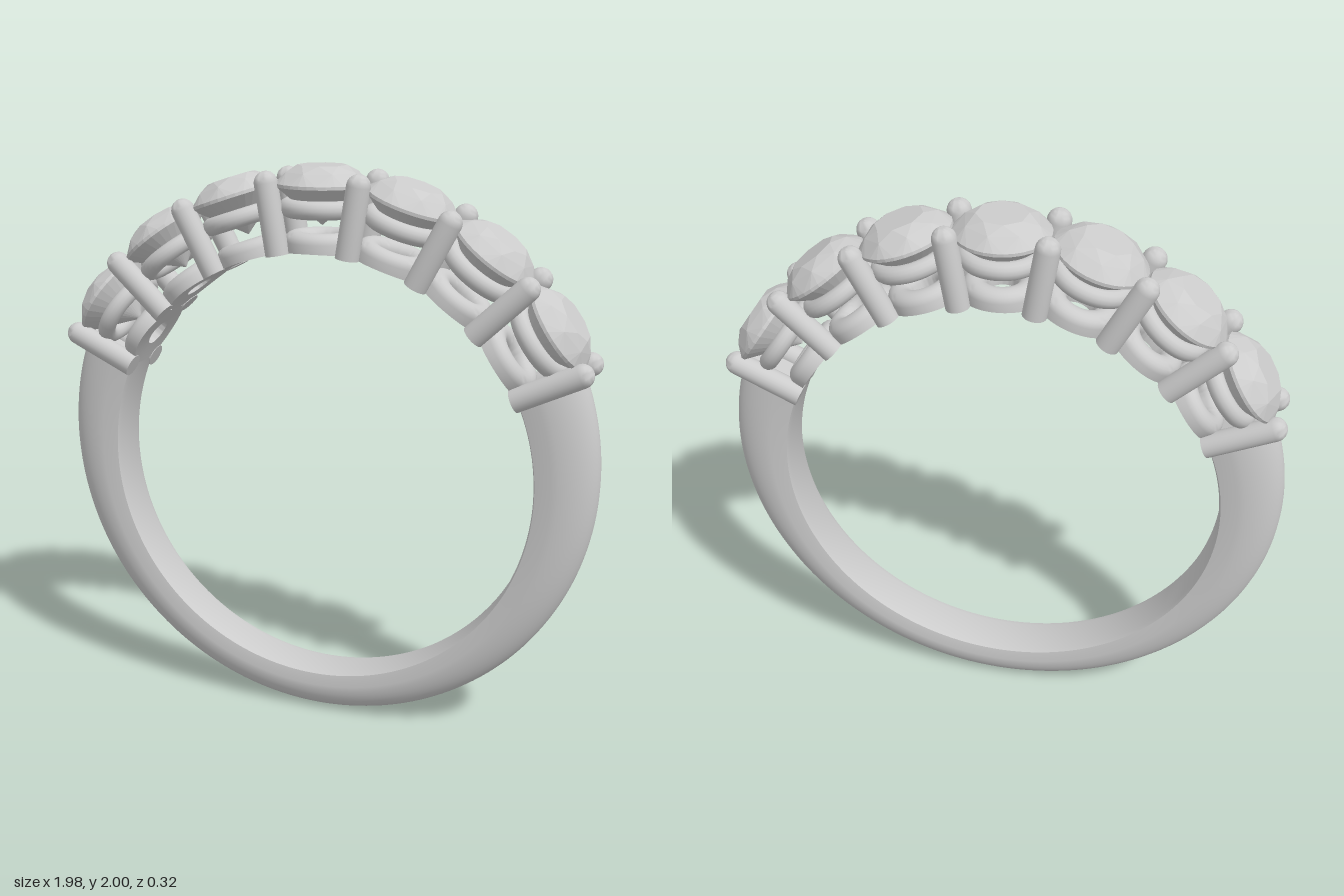
import * as THREE from 'three';
import { toCreasedNormals } from 'three/addons/utils/BufferGeometryUtils.js';
import { ConvexGeometry } from 'three/addons/geometries/ConvexGeometry.js';

const CENTRE_Y = 0.935;                       // centre of the finger hole
const INNER = 0.78;                           // finger hole radius
const STONES = 7;
const STEP = THREE.MathUtils.degToRad(18.5);  // angle from stone to stone
const HALF = (STEP * STONES) / 2;             // half of the set arc, from the top

const metal = new THREE.MeshStandardMaterial({ color: 0xcccccc, side: THREE.DoubleSide });
const gem = new THREE.MeshStandardMaterial({ color: 0xcccccc, flatShading: true });

const V = (x, y) => new THREE.Vector2(x, y);

function add(parent, name, geometry, material) {
  const mesh = new THREE.Mesh(geometry, material);
  mesh.name = name;
  parent.add(mesh);
  return mesh;
}

// Outer edge is a larger circle shifted up, so the band thickens towards the stones
function outerRadius(a) {
  const R = 0.99, d = 0.055;
  return d * Math.sin(a) + Math.sqrt(R * R - (d * Math.cos(a)) ** 2);
}

// Plain band: flat inside, domed outside, swept around the bottom of the hole
function bandGeometry() {
  const section = [[-0.065, 0], [0.065, 0], [0.082, 0.03]];   // [z, share of thickness]
  const dome = 20;
  for (let i = 0; i <= dome; i++) {
    const t = (i / dome) * Math.PI;
    section.push([0.09 * Math.cos(t), 0.3 + 0.7 * Math.sin(t)]);
  }
  section.push([-0.082, 0.03]);

  const n = section.length, steps = 120;
  const start = Math.PI / 2 + HALF, sweep = 2 * Math.PI - 2 * HALF;
  const pos = [], index = [];
  for (let s = 0; s <= steps; s++) {
    const a = start + (sweep * s) / steps;
    const thick = outerRadius(a) - INNER;
    for (const [z, t] of section) {
      const r = INNER + thick * t;
      pos.push(r * Math.cos(a), r * Math.sin(a), z);
    }
  }
  for (let s = 0; s < steps; s++) {
    for (let i = 0; i < n; i++) {
      const a = s * n + i, b = s * n + ((i + 1) % n);
      index.push(a, b, a + n, b, b + n, a + n);
    }
  }
  // End caps
  const last = steps * n;
  for (let i = 1; i < n - 1; i++) {
    index.push(0, i + 1, i, last, last + i, last + i + 1);
  }
  const g = new THREE.BufferGeometry();
  g.setAttribute('position', new THREE.Float32BufferAttribute(pos, 3));
  g.setIndex(index);
  return toCreasedNormals(g, 0.6);
}

// Trims a part standing on the ring (y is the radius) to the round finger hole
function trimToHole(geometry) {
  const p = geometry.attributes.position;
  for (let i = 0; i < p.count; i++) {
    const x = p.getX(i);
    p.setY(i, Math.max(p.getY(i), Math.sqrt(INNER * INNER - x * x)));
  }
  return toCreasedNormals(geometry, 0.7);
}

// Lower gallery ring: flat foot on the finger hole, rounded above
function galleryGeometry() {
  const profile = [V(0.05, 0.76), V(0.09, 0.76), V(0.13, 0.76)];
  for (let i = 0; i <= 10; i++) {
    const t = (i / 10) * Math.PI;
    profile.push(V(0.09 + 0.04 * Math.cos(t), 0.81 + 0.035 * Math.sin(t)));
  }
  profile.push(V(0.05, 0.76));
  return trimToHole(new THREE.LatheGeometry(profile, 48));
}

// Prong: round post with a domed tip
function prongGeometry() {
  const r = 0.041, tip = 1.06;
  const profile = [V(0, INNER - 0.003), V(r, INNER - 0.003)];
  for (let i = 0; i <= 8; i++) {
    const t = (i / 8) * Math.PI / 2;
    profile.push(V(r * Math.cos(t), tip - r + r * Math.sin(t)));
  }
  return toCreasedNormals(new THREE.LatheGeometry(profile, 24), 0.7);
}

// Round brilliant stone: table, crown, girdle and pointed pavilion
function stoneGeometry() {
  const points = [new THREE.Vector3(0, 0.862, 0)];
  const ring = (count, radius, y, turn) => {
    for (let i = 0; i < count; i++) {
      const a = ((i + turn) / count) * 2 * Math.PI;
      points.push(new THREE.Vector3(radius * Math.cos(a), y, radius * Math.sin(a)));
    }
  };
  ring(8, 0.085, 1.064, 0);
  ring(8, 0.126, 1.042, 0.5);
  ring(32, 0.16, 1.005, 0);
  ring(32, 0.16, 0.994, 0);
  ring(8, 0.045, 0.9, 0.5);
  return new ConvexGeometry(points);
}

export function createModel() {
  const ring = new THREE.Group();
  ring.name = 'ring';
  const body = new THREE.Group();
  body.name = 'ringBody';
  body.position.y = CENTRE_Y;
  ring.add(body);

  add(body, 'band', bandGeometry(), metal);

  // Seven settings, each a stone above a seat ring and a gallery ring
  const stone = stoneGeometry();
  const gallery = galleryGeometry();
  const seat = new THREE.TorusGeometry(0.117, 0.031, 14, 48).rotateX(Math.PI / 2).translate(0, 0.923, 0);
  for (let i = 0; i < STONES; i++) {
    const setting = new THREE.Group();
    setting.name = 'setting';
    setting.rotation.z = ((STONES - 1) / 2 - i) * STEP;
    add(setting, 'stone', stone, gem).rotation.y = i * 0.6;
    add(setting, 'seatRing', seat, metal);
    add(setting, 'galleryRing', gallery, metal);
    body.add(setting);
  }

  // Pairs of prongs between the stones and at both ends
  const prong = prongGeometry();
  for (let i = 0; i <= STONES; i++) {
    const pair = new THREE.Group();
    pair.name = 'prongPair';
    pair.rotation.z = HALF - i * STEP;
    const z = i === 0 || i === STONES ? 0.088 : 0.1;
    for (const side of [-1, 1]) add(pair, 'prong', prong, metal).position.z = side * z;
    body.add(pair);
  }
  return ring;
}
